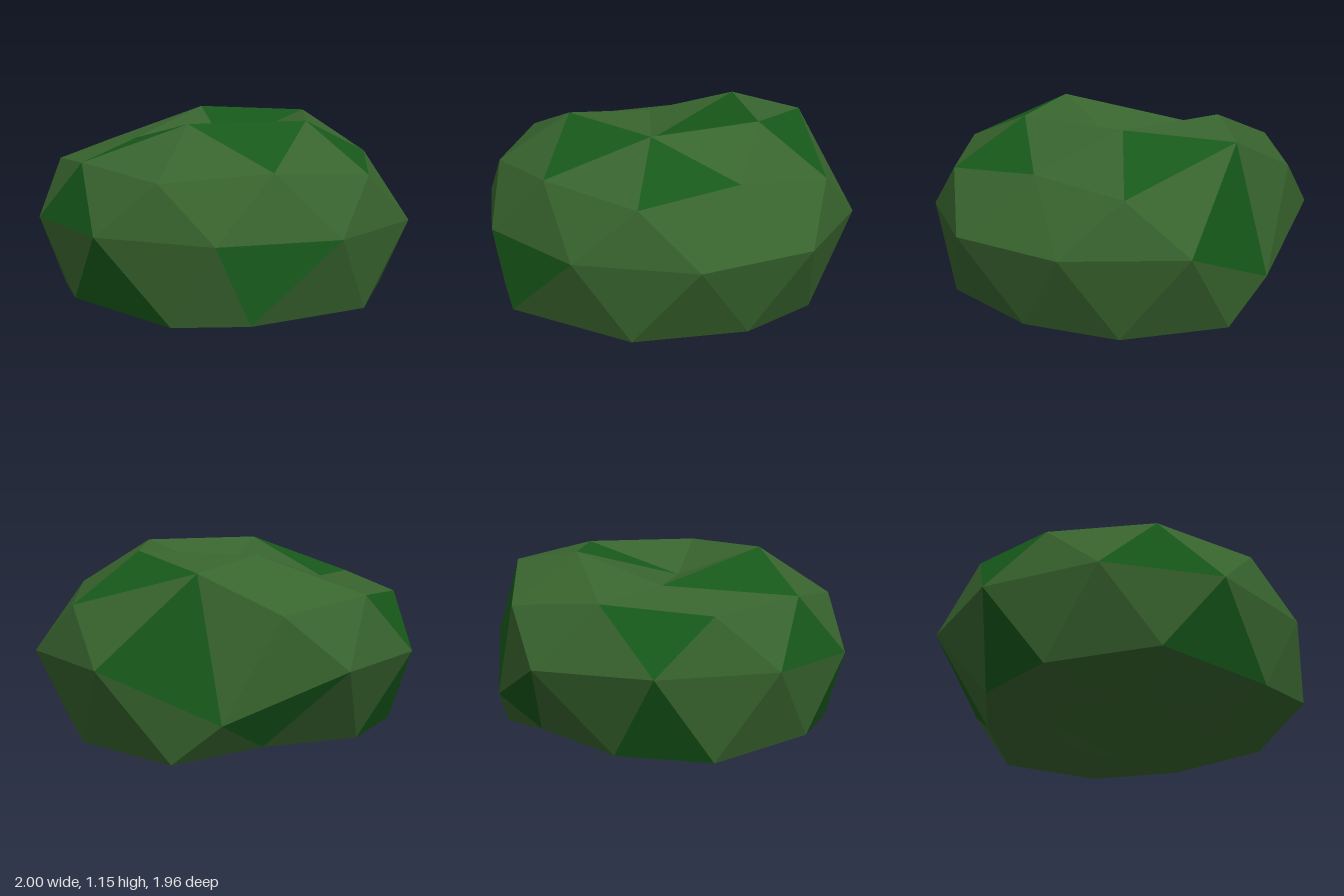
import * as THREE from 'three';

// Point on the squashed base sphere: unit ring radius, unit height, azimuth from +x towards +z
function spherePoint(radius, height, degrees) {
  const a = THREE.MathUtils.degToRad(degrees);
  return [1.051 * radius * Math.cos(a), 0.62 + 0.623 * height, 1.033 * radius * Math.sin(a) - 0.055];
}

function buildPoints() {
  const p = { T: [0, 0.99, 0.04], P: [0, 0, -0.055] };
  for (let k = 0; k < 5; k++) {
    p['A' + k] = spherePoint(0.52, 0.851, 36 + 72 * k); // crown ring
    p['D' + k] = spherePoint(0.52, -0.851, 72 * k); // underside ring
  }
  for (let j = 0; j < 10; j++) {
    p['B' + j] = j % 2 ? spherePoint(0.894, 0.447, 36 * j) : spherePoint(0.851, 0.526, 36 * j); // shoulder
    p['E' + j] = spherePoint(1, 0, 18 + 36 * j); // waist
  }
  // Sagging lower ring
  [[0.89, 0.19, -0.07], [0.75, 0.2, 0.52], [0.17, 0.22, 0.94], [-0.23, 0.18, 0.85], [-0.77, 0.23, 0.5],
    [-0.93, 0.17, -0.05], [-0.7, 0.18, -0.5], [-0.2, 0.21, -0.78], [0.25, 0.15, -0.9], [0.73, 0.165, -0.55],
  ].forEach((v, j) => { p['C' + j] = v; });
  // Dents and bumps
  return Object.assign(p, {
    A2: [-0.52, 1.0, -0.2],
    B0: [0.78, 0.95, -0.07],
    B8: [0.12, 1.09, -0.84],
    E7: [0, 0.37, -0.98],
    D3: [-0.37, 0.135, -0.33],
    D4: [0.17, 0.16, -0.44],
  });
}

// Triangles of a once-divided icosahedron, ring by ring
function buildFaces() {
  const faces = [];
  for (let k = 0; k < 5; k++) {
    const n = (k + 1) % 5;
    // each cap: pole, inner ring, outer ring, offset of the outer ring
    for (const [pole, inner, outer, shift] of [['T', 'A', 'B', 1], ['P', 'D', 'C', 0]]) {
      const o = (i) => outer + ((2 * k + shift + i + 10) % 10);
      faces.push([pole, inner + k, inner + n], [inner + k, inner + n, o(1)],
        [inner + k, o(0), o(1)], [inner + k, o(-1), o(0)]);
    }
  }
  for (let j = 0; j < 10; j++) {
    for (const ring of ['B', 'C']) {
      faces.push([ring + j, ring + ((j + 1) % 10), 'E' + j], [ring + j, 'E' + j, 'E' + ((j + 9) % 10)]);
    }
  }
  return faces;
}

// Flat-shaded mesh with every triangle turned outwards
function leafMesh(name, color, faces, points) {
  const centre = new THREE.Vector3(0, 0.6, -0.05);
  const corners = [];
  for (const face of faces) {
    const [a, b, c] = face.map((key) => new THREE.Vector3(...points[key]));
    const normal = b.clone().sub(a).cross(c.clone().sub(a));
    const middle = a.clone().add(b).add(c).divideScalar(3).sub(centre);
    corners.push(...(normal.dot(middle) > 0 ? [a, b, c] : [a, c, b]));
  }
  const geometry = new THREE.BufferGeometry().setFromPoints(corners);
  geometry.computeVertexNormals();
  const mesh = new THREE.Mesh(geometry, new THREE.MeshStandardMaterial({ color, flatShading: true }));
  mesh.name = name;
  return mesh;
}

export function createModel() {
  const points = buildPoints();
  const faces = buildFaces();
  // Facets with the deeper green
  const deep = new Set(['A3A4T', 'A0B0B1', 'A0A1B2', 'A1A2B4', 'C2E1E2', 'B4E3E4',
    'C3C4E3', 'B5B6E5', 'A4B8B9', 'B8E7E8', 'C7E6E7', 'C5C6E5']);
  const isDeep = (face) => deep.has([...face].sort().join(''));

  const bush = new THREE.Group();
  bush.name = 'bush';
  bush.add(leafMesh('lightFoliage', 0x38642e, faces.filter((f) => !isDeep(f)), points));
  bush.add(leafMesh('deepFoliage', 0x17591a, faces.filter(isDeep), points));
  return bush;
}
